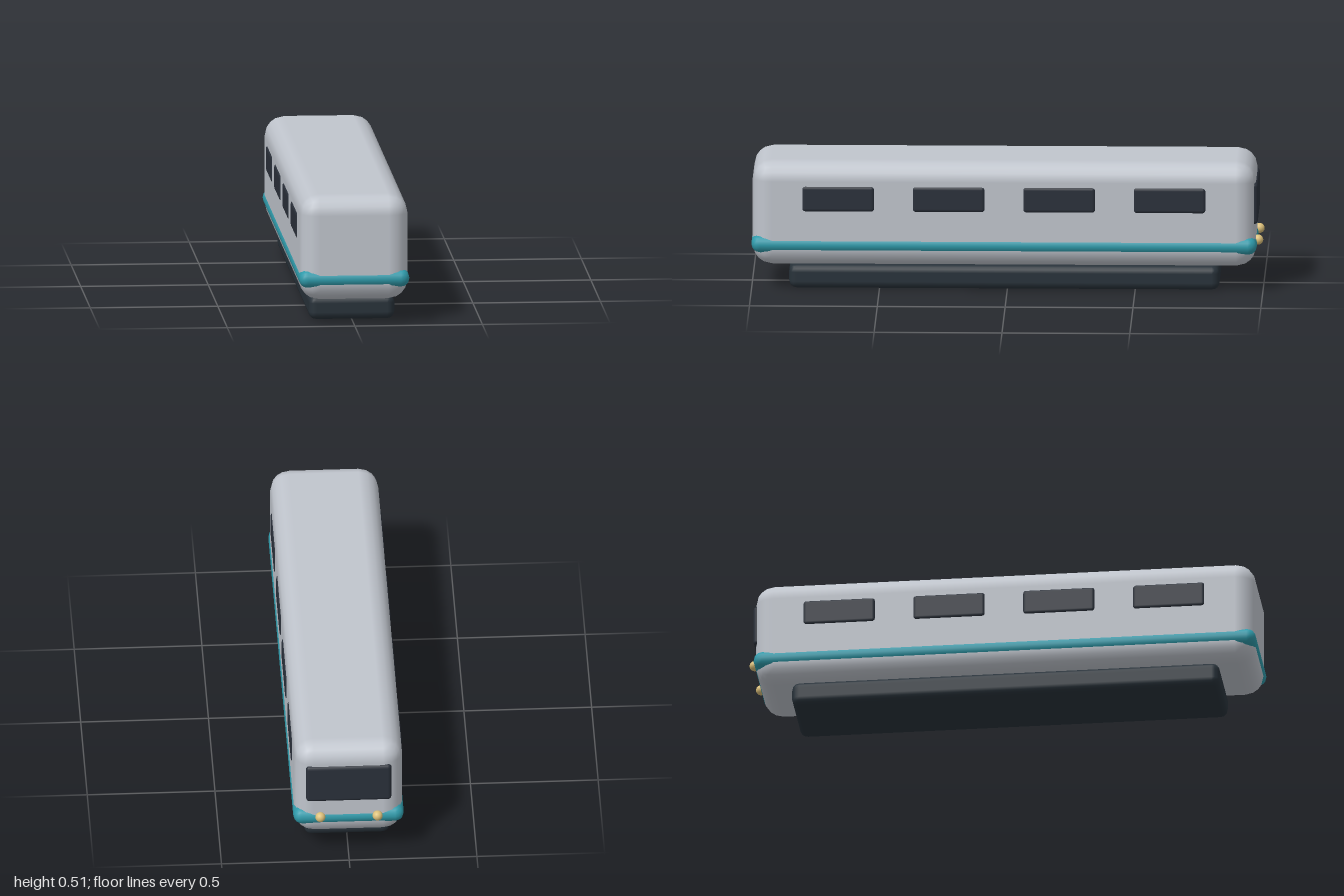
import * as THREE from 'three';
import { RoundedBoxGeometry } from 'three/addons/geometries/RoundedBoxGeometry.js';

function material(name, color) {
  const m = new THREE.MeshStandardMaterial({ color });
  m.name = name;
  return m;
}

export function createModel() {
  const group = new THREE.Group();
  group.name = 'railCar';

  const silver = material('silver', 0xc0c5cd);
  const teal = material('teal', 0x2f9bab);
  const glass = material('darkGlass', 0x2a303a);
  const charcoal = material('charcoal', 0x28323a);
  const amber = material('paleAmber', 0xdcc07a);

  // Rounded block with its centre at (x, y, z)
  function block(name, mat, [w, h, d], radius, [x, y, z]) {
    const mesh = new THREE.Mesh(new RoundedBoxGeometry(w, h, d, 2, radius), mat);
    mesh.name = name;
    mesh.position.set(x, y, z);
    group.add(mesh);
  }

  const midZ = 0.012;

  // Shell and undercarriage
  block('body', silver, [0.424, 0.418, 1.968], 0.077, [0, 0.304, midZ]);
  block('undercarriage', charcoal, [0.336, 0.096, 1.683], 0.03, [0, 0.048, midZ]);

  // Belt stands proud of the flat sides and shows in full at the rounded corners
  block('beltStripe', teal, [0.433, 0.07, 1.977], 0.035, [0, 0.183, midZ]);

  // Four windows along each side
  for (const side of [-1, 1]) {
    for (let i = 0; i < 4; i++) {
      block('sideWindow', glass, [0.03, 0.106, 0.288], 0.015,
        [side * 0.202, 0.368, midZ + (i - 1.5) * 0.432]);
    }
  }

  // Driver's window on the back end
  block('endWindow', glass, [0.335, 0.165, 0.03], 0.015, [0, 0.347, -0.965]);

  // Pair of round lamps on the belt
  for (const side of [-1, 1]) {
    const lamp = new THREE.Mesh(new THREE.SphereGeometry(0.02, 16, 12), amber);
    lamp.name = 'lamp';
    lamp.position.set(side * 0.112, 0.195, -0.98);
    group.add(lamp);
  }

  return group;
}
